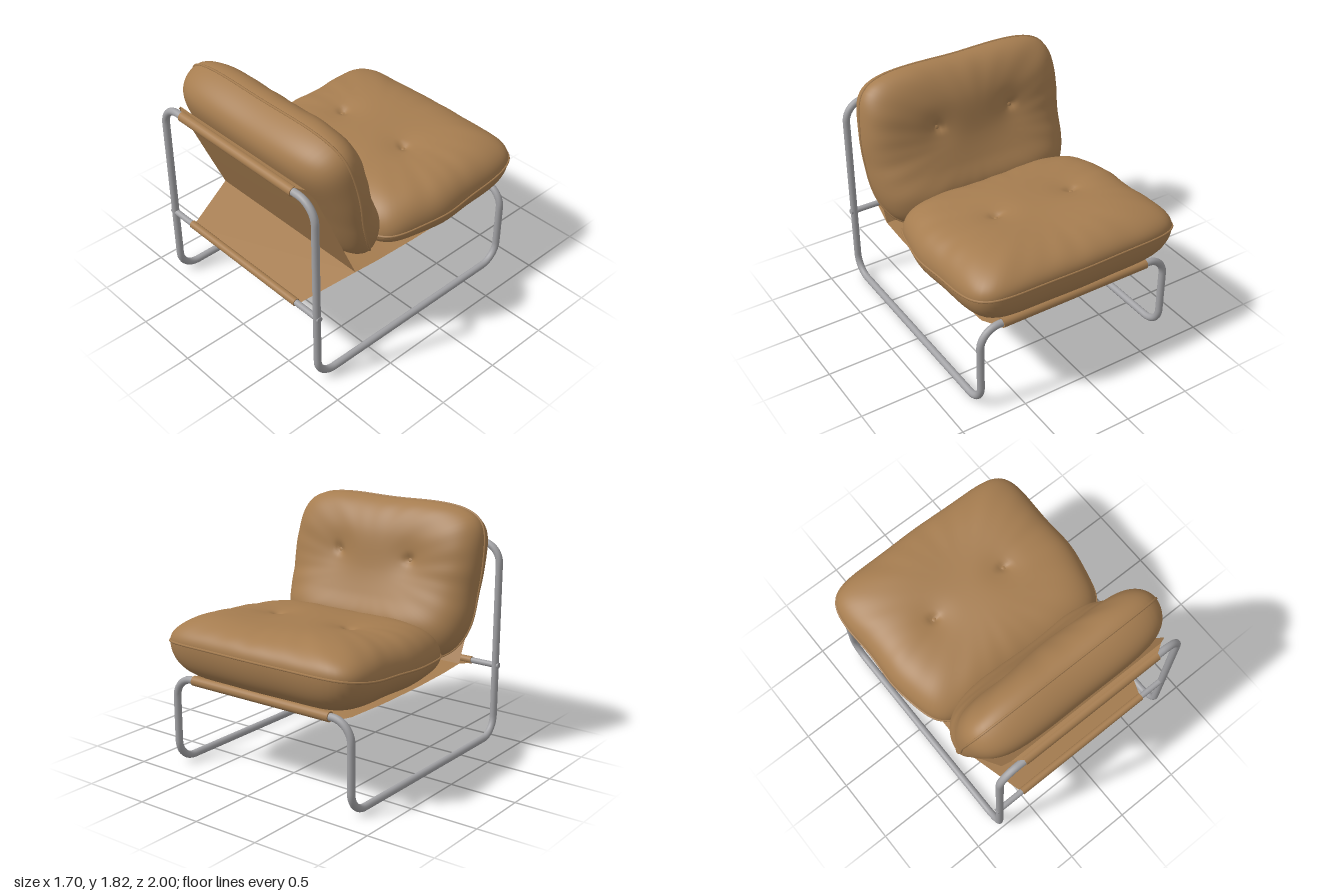
import * as THREE from 'three';

const leather = new THREE.MeshStandardMaterial({ color: 0xa67d50, side: THREE.DoubleSide });
leather.name = 'tanLeather';
const steel = new THREE.MeshStandardMaterial({ color: 0xa2a2a5 });
steel.name = 'greySteel';

function part(name, geometry, material) {
  const mesh = new THREE.Mesh(geometry, material);
  mesh.name = name;
  return mesh;
}

// Smooth 1D curve through [position, value] pairs
function curve1D(pairs) {
  const c = new THREE.CubicInterpolant(pairs.map((p) => p[0]), pairs.map((p) => p[1]), 1);
  return (t) => c.evaluate(t)[0];
}

// Closed loop of straight runs and rounded corners
function roundedLoop(points, radius) {
  const path = new THREE.CurvePath();
  const n = points.length;
  const corners = points.map((p, i) => {
    const toward = (q, d) => p.clone().add(q.clone().sub(p).setLength(d));
    const prev = points[(i + n - 1) % n], next = points[(i + 1) % n];
    return [toward(prev, radius), toward(prev, radius * 0.45), toward(next, radius * 0.45), toward(next, radius)];
  });
  corners.forEach((c, i) => {
    path.add(new THREE.CubicBezierCurve3(...c));
    path.add(new THREE.LineCurve3(c[3], corners[(i + 1) % n][0]));
  });
  return path;
}

// Stuffed cushion: two bulging shells that meet at a piped seam.
// Local axes: x across, y thickness, z length.
function cushion(name, o) {
  const group = new THREE.Group();
  group.name = name;
  const RINGS = 40, SEGS = 128;
  const seam = curve1D(o.seam), top = curve1D(o.top), bottom = curve1D(o.bottom);

  const outline = (a) => {
    const c = Math.cos(a), s = Math.sin(a);
    const r = Math.pow(Math.abs(c) ** o.square + Math.abs(s) ** o.square, -1 / o.square);
    const wob = 1 + 0.006 * Math.sin(5 * a + 1) + 0.004 * Math.sin(9 * a);
    const b = s * r * o.halfLength;
    const taper = 1 - o.taper * THREE.MathUtils.smoothstep(b * o.taperEnd, 0.1, o.halfLength);
    return [c * r * o.halfWidth * taper * wob, b * (1 + 0.006 * Math.sin(7 * a))];
  };

  const height = (x, b, s, a, upper) => {
    const f = Math.sqrt(Math.max(0, 1 - s ** 6));
    const base = seam(b);
    let h = base + ((upper ? top(b) : bottom(b)) - base) * f;
    if (upper) {
      h += 0.008 * f * Math.sin(7 * x + 1) * Math.sin(6 * b + 0.5);
      h += 0.03 * s ** 6 * (1 - s) * (Math.sin(13 * a) + Math.sin(23 * a + 2));
      for (const [bx, bb] of o.buttons) {
        const d2 = (x - bx) ** 2 + (b - bb) ** 2;
        h -= 0.03 * Math.exp(-d2 / 0.0012) + 0.02 * Math.exp(-d2 / 0.015);
      }
    }
    return h;
  };

  for (const upper of [true, false]) {
    const pos = [0, height(0, 0, 0, 0, upper), 0], idx = [];
    for (let i = 1; i <= RINGS; i++) {
      const s = Math.sin((i / RINGS) * Math.PI / 2);
      for (let j = 0; j < SEGS; j++) {
        const a = (j / SEGS) * Math.PI * 2;
        const [x, b] = outline(a);
        pos.push(x * s, height(x * s, b * s, s, a, upper), b * s);
      }
    }
    const tri = (p, q, r) => (upper ? idx.push(p, r, q) : idx.push(p, q, r));
    for (let j = 0; j < SEGS; j++) {
      const k = (j + 1) % SEGS;
      tri(0, 1 + j, 1 + k);
      for (let i = 0; i < RINGS - 1; i++) {
        const u = 1 + i * SEGS, v = u + SEGS;
        tri(u + j, v + j, v + k);
        tri(u + j, v + k, u + k);
      }
    }
    const g = new THREE.BufferGeometry();
    g.setAttribute('position', new THREE.Float32BufferAttribute(pos, 3));
    g.setIndex(idx);
    g.computeVertexNormals();
    group.add(part(name + (upper ? 'Upper' : 'Lower'), g, leather));
  }

  // Piping along the seam
  const loop = [];
  for (let j = 0; j < 96; j++) {
    const [x, b] = outline((j / 96) * Math.PI * 2);
    loop.push(new THREE.Vector3(x, seam(b), b));
  }
  const piping = new THREE.CatmullRomCurve3(loop, true);
  group.add(part(name + 'Piping', new THREE.TubeGeometry(piping, 192, 0.009, 6, true), leather));

  // Tufting buttons
  for (const [x, b] of o.buttons) {
    const button = part(name + 'Button', new THREE.SphereGeometry(0.02, 12, 8), leather);
    button.scale.y = 0.4;
    button.position.set(x, height(x, b, 0.4, 0, true) + 0.003, b);
    group.add(button);
  }
  return group;
}

// Sheet of leather through rows of [z, y, halfWidth]
function sheet(name, rows) {
  const pos = [], idx = [];
  rows.forEach(([z, y, w], i) => {
    pos.push(-w, y, z, w, y, z);
    if (i) {
      const k = i * 2;
      idx.push(k - 2, k, k - 1, k - 1, k, k + 1);
    }
  });
  const g = new THREE.BufferGeometry();
  g.setAttribute('position', new THREE.Float32BufferAttribute(pos, 3));
  g.setIndex(idx);
  g.computeVertexNormals();
  return part(name, g, leather);
}

function crossBar(name, radius, length, y, z, material) {
  const bar = part(name, new THREE.CylinderGeometry(radius, radius, length, 20), material);
  bar.rotation.z = Math.PI / 2;
  bar.position.set(0, y, z);
  return bar;
}

export function createModel() {
  const model = new THREE.Group();
  model.name = 'loungeChair';

  // Bent tube frame
  const side = [[1.51, 0.97], [0.028, 0.97], [0.028, -0.86], [0.665, -0.86]];
  const points = [
    ...side.map(([y, z]) => new THREE.Vector3(0.77, y, z)),
    ...side.slice().reverse().map(([y, z]) => new THREE.Vector3(-0.77, y, z)),
  ];
  model.add(part('tubeFrame', new THREE.TubeGeometry(roundedLoop(points, 0.15), 420, 0.027, 14, true), steel));
  model.add(crossBar('rearCrossBar', 0.022, 1.6, 0.577, 0.97, steel));

  // Sleeves round the bars
  model.add(crossBar('topSleeve', 0.036, 1.14, 1.508, 0.967, leather));
  model.add(crossBar('rearSleeve', 0.028, 1.13, 0.577, 0.97, leather));
  model.add(crossBar('frontSleeve', 0.036, 1.2, 0.665, -0.86, leather));

  // Sling
  model.add(sheet('slingTopTab', [[0.97, 1.543, 0.57], [0.925, 1.535, 0.64]]));
  model.add(sheet('slingBack', [[0.925, 1.535, 0.64], [0.9, 1.48, 0.7], [0.72, 1.06, 0.7], [0.555, 0.68, 0.7]]));
  model.add(sheet('slingSeat', [[0.555, 0.68, 0.7], [0.35, 0.662, 0.7], [0, 0.648, 0.7],
    [-0.4, 0.645, 0.7], [-0.75, 0.65, 0.69], [-0.86, 0.632, 0.6]]));
  model.add(sheet('slingRearFlap', [[0.555, 0.68, 0.7], [0.97, 0.555, 0.565]]));

  // Seat cushion
  const seat = cushion('seatCushion', {
    halfWidth: 0.835, halfLength: 0.66, square: 7, taper: 0.07, taperEnd: 1,
    seam: [[-0.67, 0.96], [-0.3, 0.895], [0, 0.868], [0.3, 0.85], [0.67, 0.82]],
    top: [[-0.67, 1.11], [-0.4, 1.128], [0, 1.11], [0.4, 1.085], [0.67, 1.04]],
    bottom: [[-0.67, 0.66], [0, 0.65], [0.67, 0.665]],
    buttons: [[-0.34, 0.02], [0.29, 0.02]],
  });
  seat.position.z = -0.325;
  model.add(seat);

  // Back cushion, leaning on the sling
  const back = cushion('backCushion', {
    halfWidth: 0.815, halfLength: 0.575, square: 5.5, taper: 0.08, taperEnd: -1,
    seam: [[-0.58, 0], [-0.36, -0.07], [-0.145, -0.085], [0.25, -0.03], [0.58, 0]],
    top: [[-0.58, 0.17], [-0.35, 0.21], [-0.18, 0.18], [0, 0.165], [0.3, 0.19], [0.58, 0.17]],
    bottom: [[-0.58, -0.19], [0, -0.225], [0.35, -0.265], [0.58, -0.29]],
    buttons: [[-0.32, 0.12], [0.3, 0.12]],
  });
  back.position.set(0, 1.265, 0.545);
  back.rotation.x = -1.244;
  model.add(back);

  return model;
}
